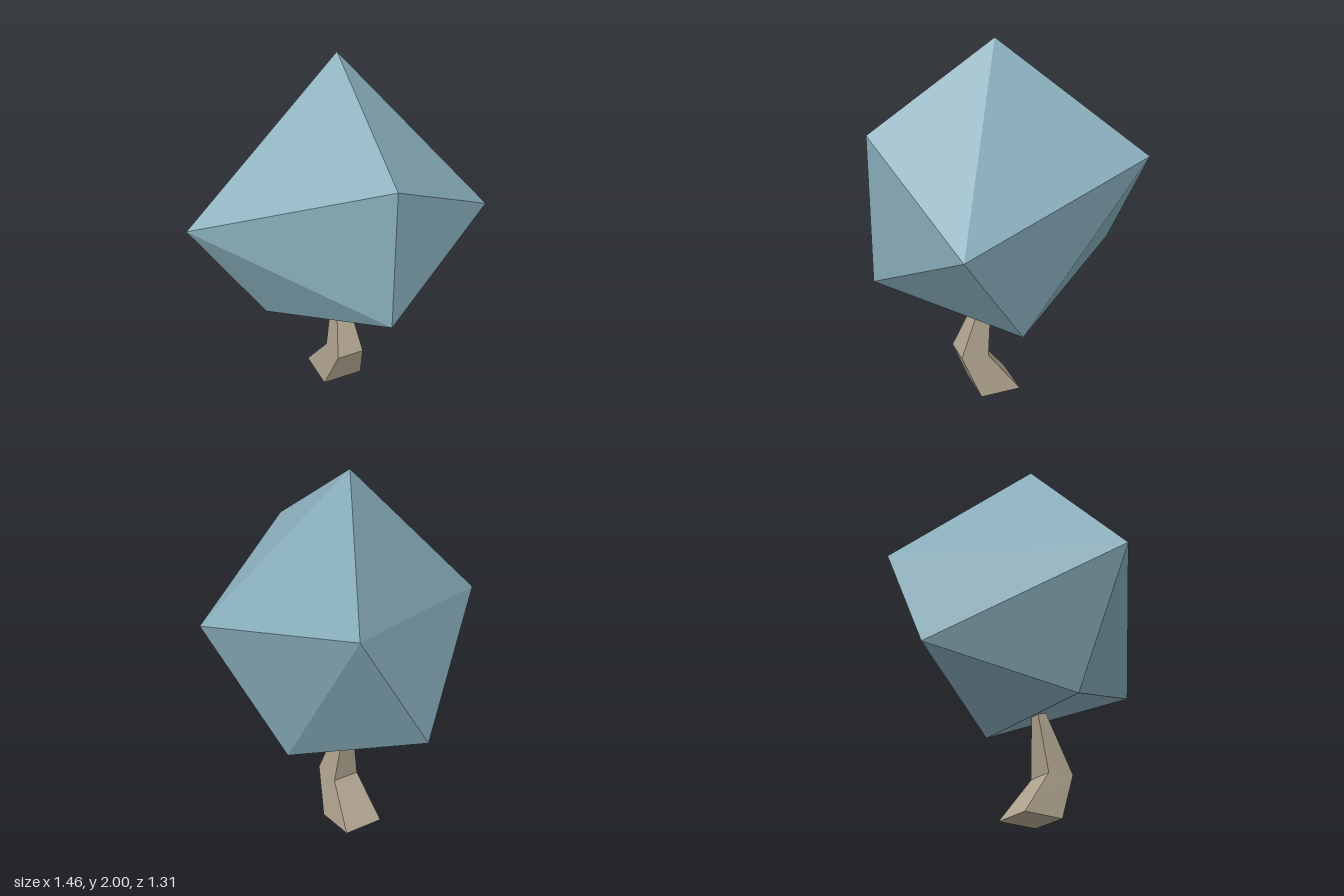
import * as THREE from 'three';

// Flat-shaded mesh from corner points and triangles
function facetedMesh(name, corners, faces, color) {
  const geometry = new THREE.BufferGeometry();
  geometry.setAttribute('position', new THREE.Float32BufferAttribute(corners.flat(), 3));
  geometry.setIndex(faces.flat());
  const flat = geometry.toNonIndexed();
  flat.computeVertexNormals();
  const mesh = new THREE.Mesh(flat, new THREE.MeshStandardMaterial({ color, flatShading: true }));
  mesh.name = name;
  return mesh;
}

// Crown: a 20-sided ball with three of its edges pulled together into points
function createCrown() {
  const corners = [
    [0.08, 2, 0],          // 0 top
    [-0.73, 1.19, 0],      // 1 right side
    [0.08, 1.595, 0.655],  // 2 upper front
    [0.08, 0.79, 0.655],   // 3 lower front
    [0.73, 1.19, 0.405],   // 4 left side
    [0.485, 1.44, -0.655], // 5 upper back
    [0.08, 0.79, -0.655],  // 6 lower back
    [-0.325, 0.54, 0],     // 7 bottom right
    [0.48, 0.54, 0],       // 8 bottom left
  ];
  const faces = [
    [0, 1, 2], [0, 2, 4], [1, 3, 2], [2, 3, 4],  // front
    [0, 4, 5], [4, 8, 5], [5, 8, 6],             // left and back
    [0, 5, 1], [1, 5, 6], [1, 6, 7],             // right and back
    [1, 7, 3], [3, 8, 4], [3, 7, 8], [6, 8, 7],  // underside
  ];
  return facetedMesh('crown', corners, faces, 0x88adba);
}

// Trunk: square cross-sections that taper and bend forward, then back
function createTrunk() {
  // x0, x1, z back, z front, y back, y front
  const rings = [
    [-0.035, 0.19, -0.11, 0.115, 0, 0],
    [0.002, 0.152, 0.06, 0.212, 0.235, 0.25],
    [0.057, 0.102, 0.024, 0.068, 0.6, 0.6],
  ];
  const corners = rings.flatMap(([x0, x1, zb, zf, yb, yf]) =>
    [[x0, yf, zf], [x1, yf, zf], [x1, yb, zb], [x0, yb, zb]]);
  const faces = [[0, 2, 1], [0, 3, 2], [8, 9, 10], [8, 10, 11]];
  for (let r = 0; r < rings.length - 1; r++) {
    for (let i = 0; i < 4; i++) {
      const a = r * 4 + i, b = r * 4 + (i + 1) % 4;
      faces.push([a, b, b + 4], [a, b + 4, a + 4]);
    }
  }
  return facetedMesh('trunk', corners, faces, 0xb0a38f);
}

export function createModel() {
  const tree = new THREE.Group();
  tree.name = 'tree';
  tree.add(createCrown(), createTrunk());
  return tree;
}
